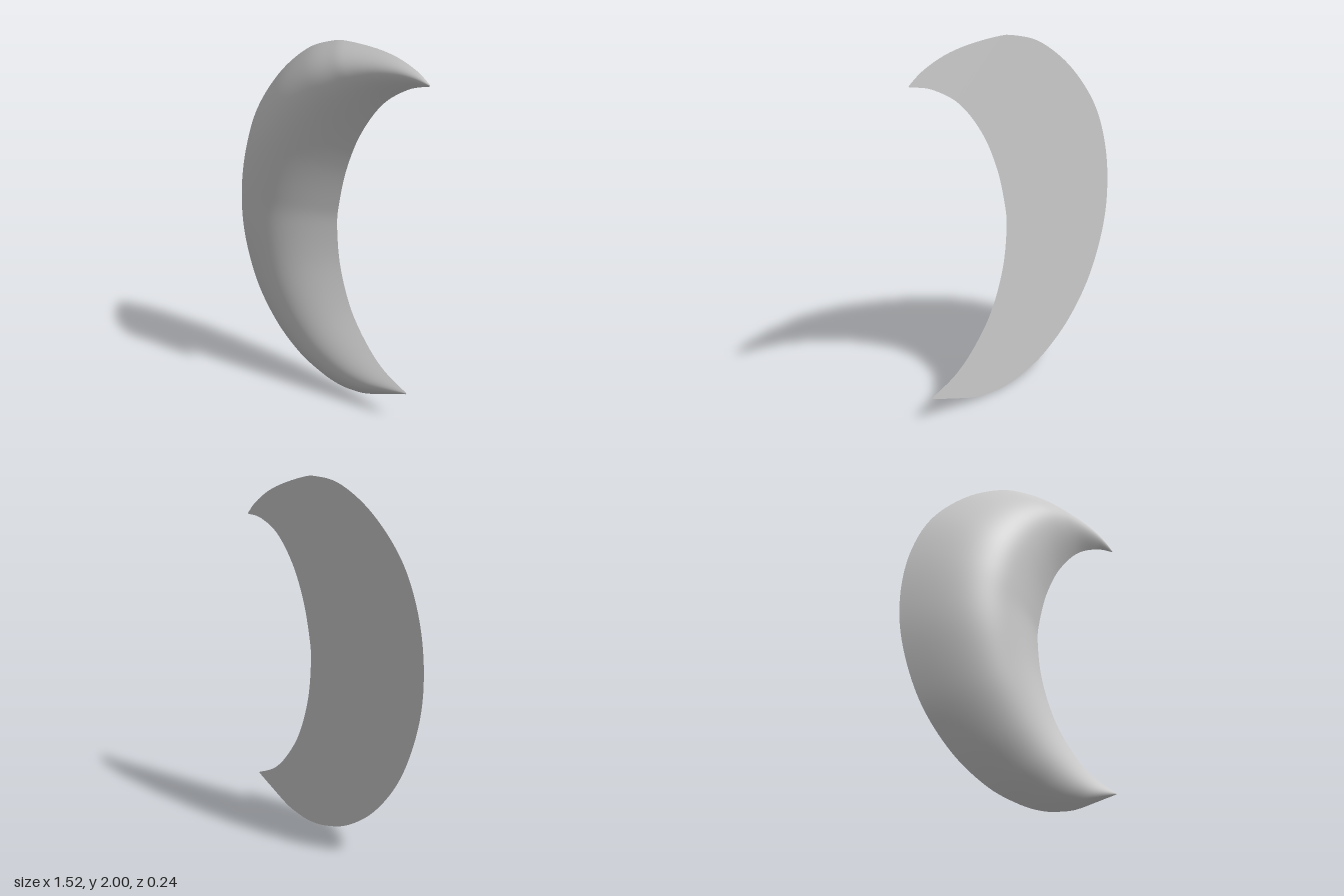
import * as THREE from 'three';

const BACK_Z = -0.125;
const curve = (pts) => {
  const c = new THREE.SplineCurve(pts.map(([x, y]) => new THREE.Vector2(x, y)));
  c.arcLengthDivisions = 400;
  return c;
};

// Crescent edges, both running from the upper tip to the lower tip
const outer = curve([
  [0.758, 1.812], [0.68, 1.87], [0.55, 1.93], [0.4, 1.97], [0.2, 1.999], [0.08, 1.999], [-0.13, 1.95],
  [-0.38, 1.8], [-0.6, 1.57], [-0.72, 1.31], [-0.762, 1.03], [-0.73, 0.76], [-0.61, 0.47],
  [-0.42, 0.24], [-0.2, 0.09], [0, 0.022], [0.16, 0.002], [0.3, 0.016], [0.4, 0.04], [0.55, 0.1], [0.688, 0.157],
]);
const inner = curve([
  [0.758, 1.806], [0.62, 1.78], [0.45, 1.69], [0.3, 1.52], [0.2, 1.32], [0.145, 1.12],
  [0.13, 0.98], [0.16, 0.75], [0.25, 0.52], [0.38, 0.35], [0.52, 0.235], [0.69, 0.164],
]);

// Sheet stretched between the two edges; the bulge is proportional to local width
function crescentSheet(bulge, across, along) {
  const geo = new THREE.PlaneGeometry(1, 1, across, along);
  const pos = geo.attributes.position;
  for (let j = 0; j <= along; j++) {
    const t = j / along;
    const a = outer.getPointAt(t), b = inner.getPointAt(t);
    const height = bulge * a.distanceTo(b);
    for (let i = 0; i <= across; i++) {
      const s = i / across;
      const p = a.clone().lerp(b, s);
      pos.setXYZ(j * (across + 1) + i, p.x, p.y, BACK_Z + height * Math.sin(Math.PI * s));
    }
  }
  return geo;
}

export function createModel() {
  const group = new THREE.Group();
  group.name = 'crescent';
  const material = new THREE.MeshStandardMaterial({ color: 0xcccccc });

  // Rounded front
  const frontGeo = crescentSheet(0.273, 32, 120);
  frontGeo.computeVertexNormals();
  const front = new THREE.Mesh(frontGeo, material);
  front.name = 'domedFront';

  // Flat back, faces turned to -z
  const backGeo = crescentSheet(0, 1, 120);
  backGeo.setIndex([...backGeo.index.array].reverse());
  backGeo.computeVertexNormals();
  const back = new THREE.Mesh(backGeo, material);
  back.name = 'flatBack';

  group.add(front, back);
  return group;
}
